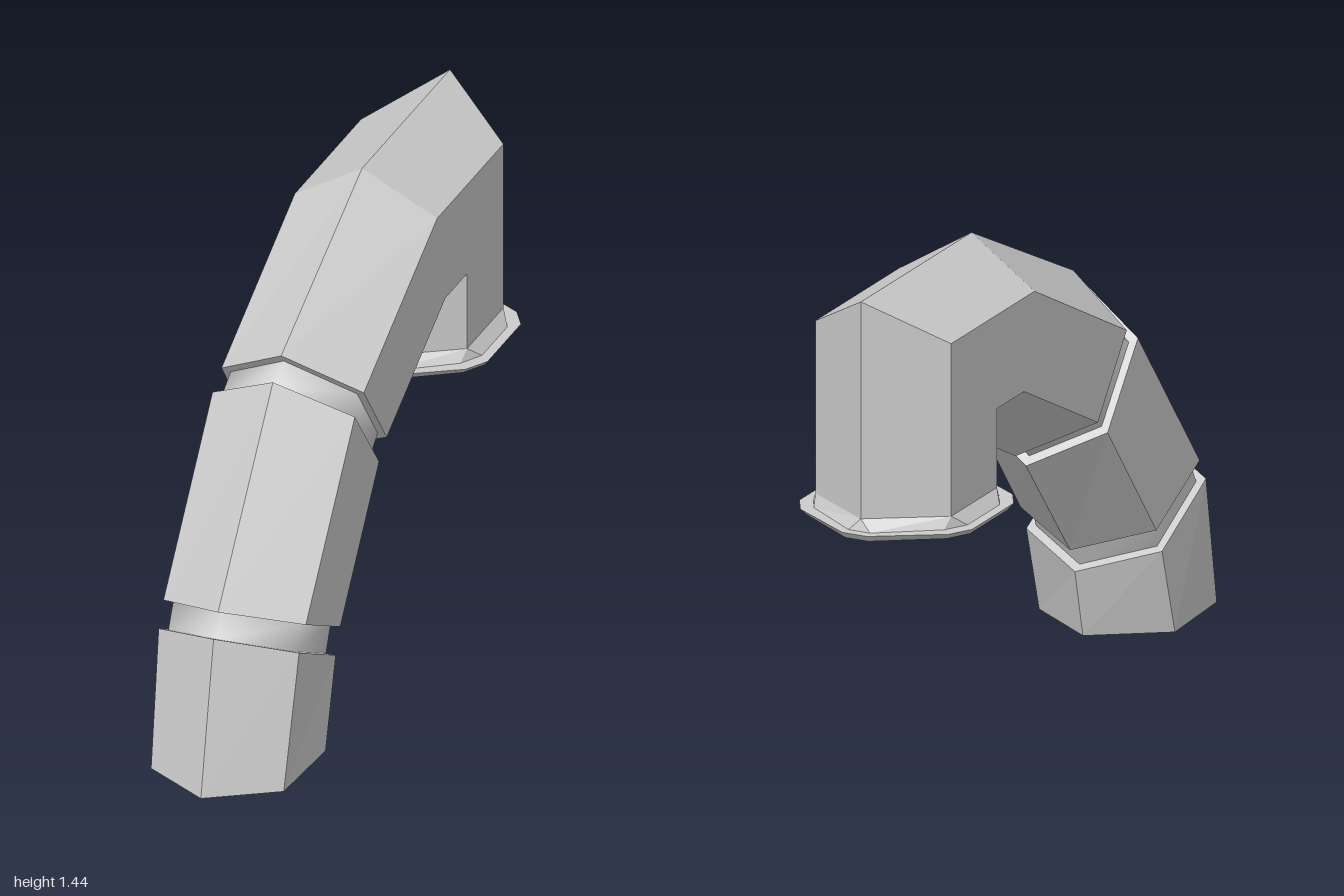
import * as THREE from 'three';

const material = new THREE.MeshStandardMaterial({ color: 0xcccccc, side: THREE.DoubleSide });

// Hexagonal section from [z, y] of outer ridge, outer sides, inner sides, inner ridge
function hex(o, so, si, i, xo = 0.22, xi = 0.22) {
  const v = (x, p) => new THREE.Vector3(x, p[1], p[0]);
  return [v(0, o), v(xo, so), v(xi, si), v(0, i), v(-xi, si), v(-xo, so)];
}

// Section shrunk towards its own centre
function inset(section, amount) {
  const centre = section.reduce((s, p) => s.add(p), new THREE.Vector3()).divideScalar(section.length);
  return section.map(p => p.clone().lerp(centre, amount));
}

// Skin a row of closed sections, faceted or smooth
function loft(name, sections, smooth = false) {
  const n = sections[0].length;
  const index = [];
  for (let s = 0; s < sections.length - 1; s++) {
    for (let i = 0; i < n; i++) {
      const a = s * n + i, b = s * n + (i + 1) % n;
      index.push(a, b, b + n, a, b + n, a + n);
    }
  }
  let geometry = new THREE.BufferGeometry().setFromPoints(sections.flat());
  geometry.setIndex(index);
  if (!smooth) geometry = geometry.toNonIndexed();
  geometry.computeVertexNormals();
  const mesh = new THREE.Mesh(geometry, material);
  mesh.name = name;
  return mesh;
}

// Long hexagon with bevelled corners for the flange
function flangeLoop(y, grow) {
  const quarter = [[0.04, 0.325], [0.24, 0.20], [0.28, 0.13]].map(([x, z]) => [x + grow * Math.min(1, x * 4), z + grow]);
  const back = quarter.map(([x, z]) => [x, -z]);
  const front = [...quarter].reverse();
  const right = [...back, ...front];
  const left = [...right].reverse().map(([x, z]) => [-x, z]);
  const loop = [...right, ...left];
  loop.unshift(loop.pop()); // start beside the outer ridge
  return loop.map(([x, z]) => new THREE.Vector3(x, y, z - 0.67));
}

export function createModel() {
  const group = new THREE.Group();

  // Section ends along the bend
  const foot = hex([1, 0], [0.87, 0], [0.58, 0], [0.43, 0], 0.205, 0.22);
  const lowerTop = hex([0.90, 0.465], [0.78, 0.405], [0.50, 0.27], [0.38, 0.21], 0.217);
  const middleBottom = hex([0.865, 0.535], [0.735, 0.475], [0.465, 0.345], [0.35, 0.285]);
  const middleTop = hex([0.435, 1.075], [0.35, 0.965], [0.16, 0.735], [0.075, 0.625]);
  const upperBottom = hex([0.37, 1.13], [0.28, 1.01], [0.10, 0.785], [0.01, 0.675]);
  const shoulder = hex([-0.265, 1.44], [-0.295, 1.305], [-0.36, 1.02], [-0.39, 0.88]);
  const elbow = hex([-0.955, 1.44], [-0.815, 1.305], [-0.53, 1.02], [-0.39, 0.88]);
  const spout = y => hex([-0.955, y], [-0.815, y], [-0.53, y], [-0.39, y]);

  // Pipe segments with stepped ends
  const step = 0.11;
  group.add(loft('lowerSegment', [foot, lowerTop, inset(lowerTop, step)]));
  group.add(loft('middleSegment', [inset(middleBottom, step), middleBottom, middleTop, inset(middleTop, step)]));
  group.add(loft('upperSegment', [inset(upperBottom, step), upperBottom, shoulder, elbow, spout(0.78)]));

  // Smooth recessed joint bands
  group.add(loft('lowerJoint', [inset(lowerTop, step), inset(middleBottom, step)], true));
  group.add(loft('upperJoint', [inset(middleTop, step), inset(upperBottom, step)], true));

  // Flared mouth flange
  const doubled = section => section.flatMap(p => [p, p.clone()]);
  group.add(loft('mouthFlange', [
    doubled(spout(0.78)),
    flangeLoop(0.745, -0.03),
    flangeLoop(0.745, 0),
    flangeLoop(0.725, -0.015),
    doubled(inset(spout(0.74), 0.02)),
  ]));
  return group;
}
